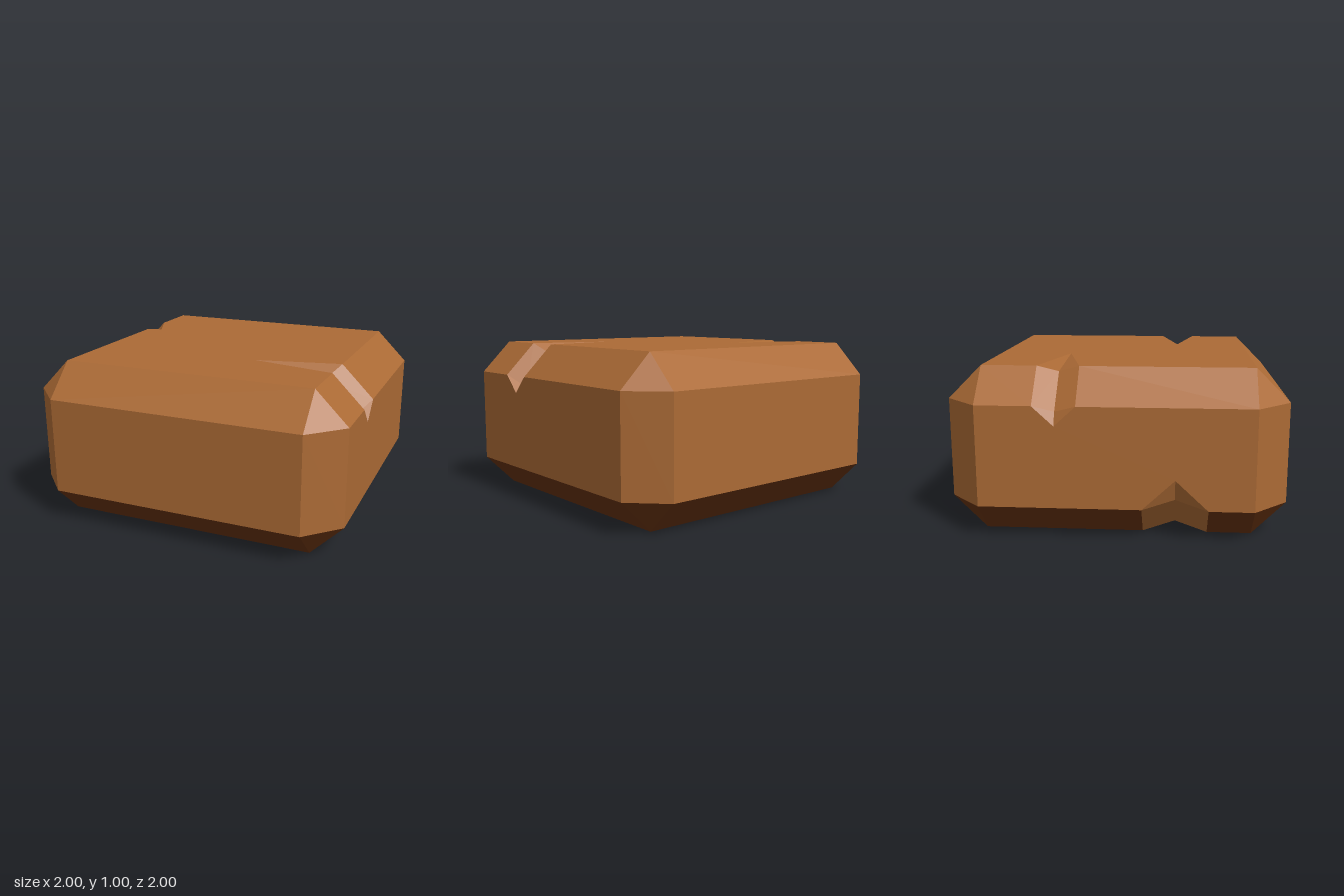
import * as THREE from 'three';

// Chamfered block: half sizes OUT (x, z) and HIGH (y), bevel inset C
const OUT = 1, HIGH = 0.5, C = 0.2;
const IN = OUT - C, LOW = HIGH - C;

// Chips cut into the long bevels: side signs, centre z, half width,
// tip on the flat face (u), tip on the side face (v), valley depth
const chips = [
  { sx: 1, sy: 1, z: 0.343, w: 0.113, u: 0.27, v: 0.19, d: 0.08 },
  { sx: -1, sy: 1, z: -0.345, w: 0.125, u: 0.26, v: 0.185, d: 0.038 },
  { sx: -1, sy: -1, z: 0.345, w: 0.192, u: 0.27, v: 0.12, d: 0.05 },
];
const chipAt = (sx, sy) => chips.find((c) => c.sx === sx && c.sy === sy);
const V = (x, y, z) => new THREE.Vector3(x, y + HIGH, z);

// Collects flat polygons, each turned to face along a hint direction
class FaceBuilder {
  constructor() { this.positions = []; }
  add(points, hx, hy, hz) {
    const hint = new THREE.Vector3(hx, hy, hz);
    const drop = Math.abs(hy) > 0.9 && !hx && !hz ? 'y' : hx ? 'x' : 'z';
    const [a, b] = ['x', 'y', 'z'].filter((k) => k !== drop);
    const flat = points.map((p) => new THREE.Vector2(p[a], p[b]));
    const order = points.map((_, i) => i);
    if (THREE.ShapeUtils.isClockWise(flat)) { flat.reverse(); order.reverse(); }
    for (const tri of THREE.ShapeUtils.triangulateShape(flat, [])) {
      const [p, q, r] = tri.map((i) => points[order[i]]);
      const n = q.clone().sub(p).cross(r.clone().sub(p));
      for (const t of n.dot(hint) > 0 ? [p, q, r] : [p, r, q]) this.positions.push(t.x, t.y, t.z);
    }
  }
  mesh(name, material) {
    const geometry = new THREE.BufferGeometry();
    geometry.setAttribute('position', new THREE.Float32BufferAttribute(this.positions, 3));
    geometry.computeVertexNormals();
    const mesh = new THREE.Mesh(geometry, material);
    mesh.name = name;
    return mesh;
  }
}

// Edge running from back to front, with the chip outline let into it
function edge(sx, sy, x, y, tipX, tipY) {
  const c = chipAt(sx, sy);
  const cut = c ? [V(x, y, c.z - c.w), V(tipX(c), tipY(c), c.z), V(x, y, c.z + c.w)] : [];
  return [V(x, y, -IN), ...cut, V(x, y, IN)];
}

// Upright faces and upright bevels
function buildWalls(material) {
  const f = new FaceBuilder();
  for (const s of [1, -1]) {
    const sideEdge = (sy) => edge(s, sy, s * OUT, sy * LOW, () => s * OUT, (c) => sy * c.v);
    f.add([...sideEdge(1), ...sideEdge(-1).reverse()], s, 0, 0);
    f.add([V(-IN, -LOW, s * OUT), V(IN, -LOW, s * OUT), V(IN, LOW, s * OUT), V(-IN, LOW, s * OUT)], 0, 0, s);
    for (const t of [1, -1]) {
      f.add([V(t * OUT, -LOW, s * IN), V(t * OUT, LOW, s * IN),
        V(t * IN, LOW, s * OUT), V(t * IN, -LOW, s * OUT)], t, 0, s);
    }
  }
  return f.mesh('walls', material);
}

// Flat face with its ring of bevels: sy = 1 for the top, -1 for the underside
function buildCap(name, sy, material) {
  const f = new FaceBuilder();
  const flatEdge = (sx) => edge(sx, sy, sx * IN, sy * HIGH, (c) => sx * c.u, () => sy * HIGH);
  f.add([...flatEdge(1), ...flatEdge(-1).reverse()], 0, sy, 0);
  for (const s of [1, -1]) {
    // bevels along x
    f.add([V(-IN, sy * HIGH, s * IN), V(IN, sy * HIGH, s * IN),
      V(IN, sy * LOW, s * OUT), V(-IN, sy * LOW, s * OUT)], 0, sy, s);
    // bevels along z, interrupted by a chip
    const c = chipAt(s, sy);
    const spans = c ? [[-IN, c.z - c.w], [c.z + c.w, IN]] : [[-IN, IN]];
    for (const [z0, z1] of spans) {
      f.add([V(s * IN, sy * HIGH, z0), V(s * IN, sy * HIGH, z1),
        V(s * OUT, sy * LOW, z1), V(s * OUT, sy * LOW, z0)], s, sy, 0);
    }
    // corner triangles
    for (const r of [1, -1]) {
      f.add([V(s * IN, sy * HIGH, r * IN), V(s * OUT, sy * LOW, r * IN), V(s * IN, sy * LOW, r * OUT)], s, sy, r);
    }
  }
  return f.mesh(name, material);
}

// V-shaped chip: two mirrored walls meeting in a valley that runs out at both tips
function buildChip({ sx, sy, z, w, u, v, d }, material) {
  const f = new FaceBuilder();
  const flatTip = V(sx * u, sy * HIGH, z), sideTip = V(sx * OUT, sy * v, z);
  const valleyA = V(sx * (IN - d), sy * (HIGH - d), z);
  const valleyB = V(sx * (OUT - d), sy * (LOW - d), z);
  for (const s of [1, -1]) {
    const rimA = V(sx * IN, sy * HIGH, z + s * w), rimB = V(sx * OUT, sy * LOW, z + s * w);
    f.add([flatTip, rimA, valleyA], sx, sy, 0);
    f.add([rimA, rimB, valleyB, valleyA], sx, sy, 0);
    f.add([rimB, sideTip, valleyB], sx, sy, 0);
  }
  return f.mesh('chip', material);
}

function makeMaterial(name, color) {
  const material = new THREE.MeshStandardMaterial({ color });
  material.name = name;
  return material;
}

export function createModel() {
  const brown = makeMaterial('brown', 0xab6a35);
  const darkBrown = makeMaterial('darkBrown', 0x653110);
  const group = new THREE.Group();
  group.name = 'chippedBlock';
  group.add(buildWalls(brown), buildCap('top', 1, brown), buildCap('underside', -1, darkBrown));
  for (const c of chips) group.add(buildChip(c, brown));
  return group;
}
